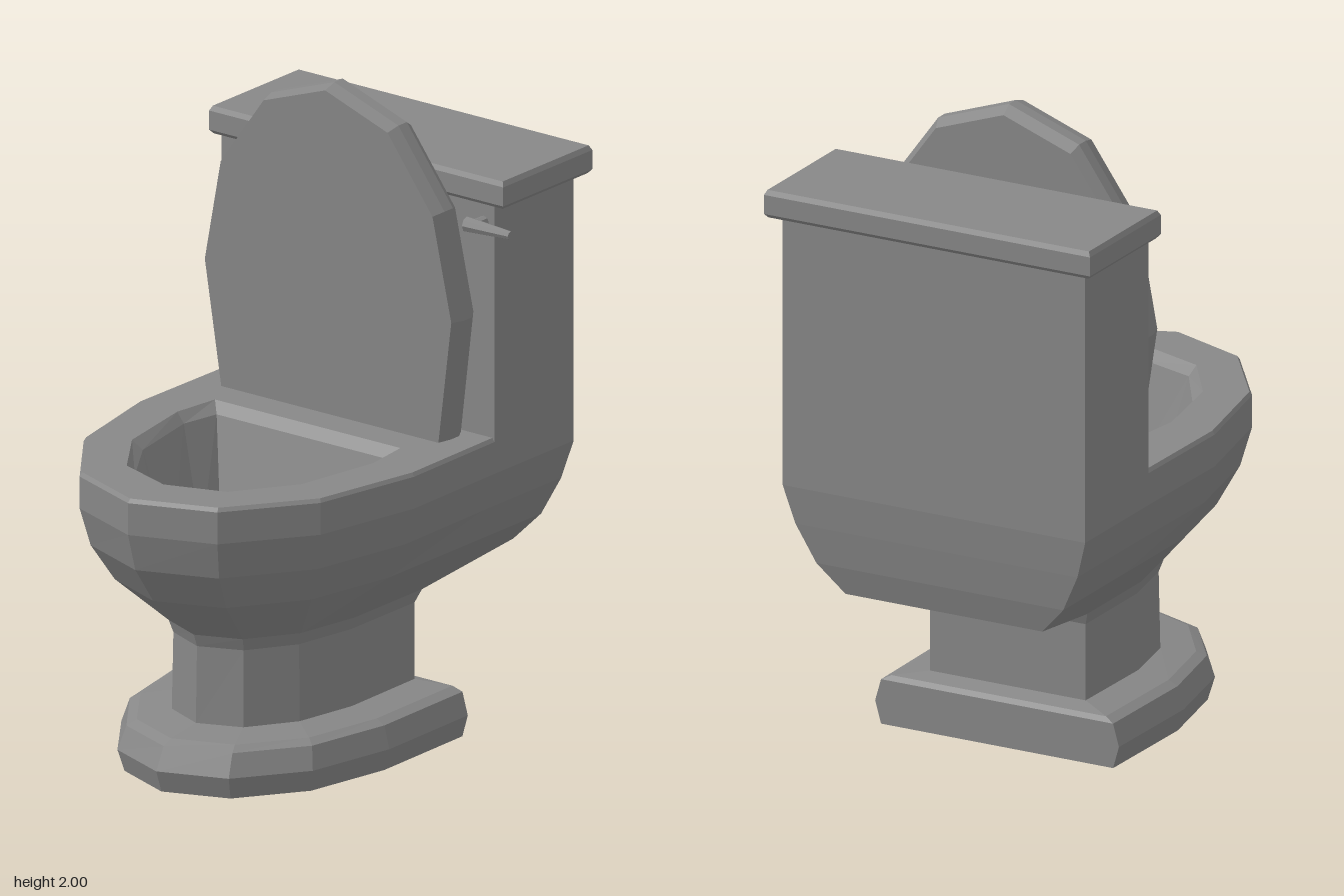
import * as THREE from 'three';

const V = (x, y, z) => new THREE.Vector3(x, y, z);
const material = new THREE.MeshStandardMaterial({ color: 0x878787, flatShading: true });

function addMesh(parent, name, geometry) {
  const mesh = new THREE.Mesh(geometry, material);
  mesh.name = name;
  parent.add(mesh);
  return mesh;
}

// Mirror a half outline (first point on the centre line) into a closed ring.
function mirrorRing(half) {
  const other = half.slice(1).reverse().map((p) => V(-p.x, p.y, p.z));
  return [...half, ...other];
}

// Skin a list of equal-length rings and close both ends.
function loft(rings) {
  const pos = [];
  const tri = (a, b, c) => {
    const area = b.clone().sub(a).cross(c.clone().sub(a)).length();
    if (area > 1e-7) for (const p of [a, b, c]) pos.push(p.x, p.y, p.z);
  };
  const n = rings[0].length;
  for (let r = 0; r + 1 < rings.length; r++) {
    for (let i = 0; i < n; i++) {
      const j = (i + 1) % n;
      tri(rings[r][i], rings[r][j], rings[r + 1][j]);
      tri(rings[r][i], rings[r + 1][j], rings[r + 1][i]);
    }
  }
  const cap = (ring, flip) => {
    const c = ring.reduce((s, p) => s.add(p), V(0, 0, 0)).divideScalar(n);
    for (let i = 0; i < n; i++) {
      const a = ring[i], b = ring[(i + 1) % n];
      if (flip) tri(c, b, a); else tri(c, a, b);
    }
  };
  cap(rings[0], true);
  cap(rings[rings.length - 1], false);
  const g = new THREE.BufferGeometry();
  g.setAttribute('position', new THREE.Float32BufferAttribute(pos, 3));
  g.computeVertexNormals();
  return g;
}

// Horizontal body section: pointed front, then a side point and a back corner.
function section(y, w, f, sideX, sideZ, backX = sideX, backZ = sideZ, backY = y) {
  return mirrorRing([
    V(0, y, f), V(w * 0.5, y, f * 0.87), V(w * 0.86, y, f * 0.53), V(w, y, f * 0.06),
    V(sideX, y, sideZ), V(backX, backY, backZ),
  ]);
}

// Ring inside the bowl, with its last point doubled to match the body sections.
function hollow(y, pts) {
  return mirrorRing([...pts, pts[pts.length - 1]].map(([x, z]) => V(x, y, z)));
}

function rectRing(y, hw, z0, z1) {
  return [V(-hw, y, z1), V(hw, y, z1), V(hw, y, z0), V(-hw, y, z0)];
}

export function createModel() {
  const root = new THREE.Group();
  root.name = 'toilet';
  const body = new THREE.Group();
  body.name = 'body';
  body.position.x = -0.036;
  root.add(body);

  // Foot, pedestal, bowl, rim and hollow in one skin
  addMesh(body, 'pedestalAndBowl', loft([
    section(0, 0.4, 0.595, 0.395, -0.345),
    section(0.07, 0.42, 0.62, 0.415, -0.345),
    section(0.14, 0.4, 0.585, 0.395, -0.345),
    section(0.155, 0.37, 0.55, 0.365, -0.335),
    section(0.17, 0.27, 0.43, 0.265, -0.28),
    section(0.41, 0.265, 0.425, 0.265, -0.28),
    section(0.45, 0.28, 0.44, 0.28, -0.297),
    section(0.45, 0.28, 0.44, 0.28, -0.297, 0.335, -0.665, 0.52),
    section(0.61, 0.42, 0.635, 0.42, -0.32, 0.42, -0.69),
    section(0.73, 0.485, 0.72, 0.48, -0.33, 0.48, -0.71),
    section(0.85, 0.52, 0.755, 0.515, -0.345, 0.515, -0.725),
    section(0.95, 0.52, 0.755, 0.515, -0.345, 0.515, -0.725),
    section(0.962, 0.513, 0.745, 0.508, -0.345, 0.515, -0.725),
    hollow(0.962, [[0, 0.585], [0.19, 0.52], [0.32, 0.33], [0.37, 0.05], [0.35, -0.105]]),
    hollow(0.93, [[0, 0.555], [0.175, 0.5], [0.295, 0.31], [0.345, 0.05], [0.32, -0.075]]),
    hollow(0.6, [[0, 0.46], [0.11, 0.42], [0.2, 0.29], [0.24, 0.1], [0.23, 0.02]]),
  ]));

  // Cistern
  addMesh(body, 'tank', loft([
    rectRing(0.95, 0.515, -0.725, -0.345),
    rectRing(1.7, 0.515, -0.725, -0.345),
  ]));

  // Cistern cover with bevelled edges
  const lidProfile = [[1.693, 0.01], [1.705, 0], [1.765, 0], [1.78, 0.008]];
  const tankLid = addMesh(body, 'tankLid', loft(lidProfile.map(
    ([y, inset]) => rectRing(y, 0.555 - inset, -0.755 + inset, -0.328 - inset),
  )));
  tankLid.position.x = 0.007;

  // Raised seat cover: front face, edge band, bevelled back, leaning slightly forward
  const outline = [[0, 2], [0.24, 1.915], [0.41, 1.68], [0.477, 1.35], [0.42, 0.96]];
  const coverRing = ([depth, s]) => mirrorRing(outline.map(([x, y], i) => {
    const h = i === 4 ? y : 1.45 + (y - 1.45) * s;
    return V(x * s, h, -0.211 - depth + (h - 0.965) * 0.022);
  }));
  const coverProfile = [[0, 0.975], [0.045, 1], [0.085, 1], [0.118, 0.955]];
  addMesh(body, 'seatCover', loft(coverProfile.map(coverRing)));

  // Flush lever: short stem and tapered handle
  const lever = new THREE.Group();
  lever.name = 'flushLever';
  lever.position.set(0.44, 1.635, -0.295);
  root.add(lever);
  const stem = addMesh(lever, 'leverStem', new THREE.CylinderGeometry(0.018, 0.018, 0.07, 8));
  stem.rotation.x = Math.PI / 2;
  stem.position.z = -0.025;
  const handle = addMesh(lever, 'leverHandle', new THREE.CylinderGeometry(0.013, 0.024, 0.165, 8));
  handle.rotation.z = -Math.PI / 2;
  handle.position.x = 0.0575;

  return root;
}
